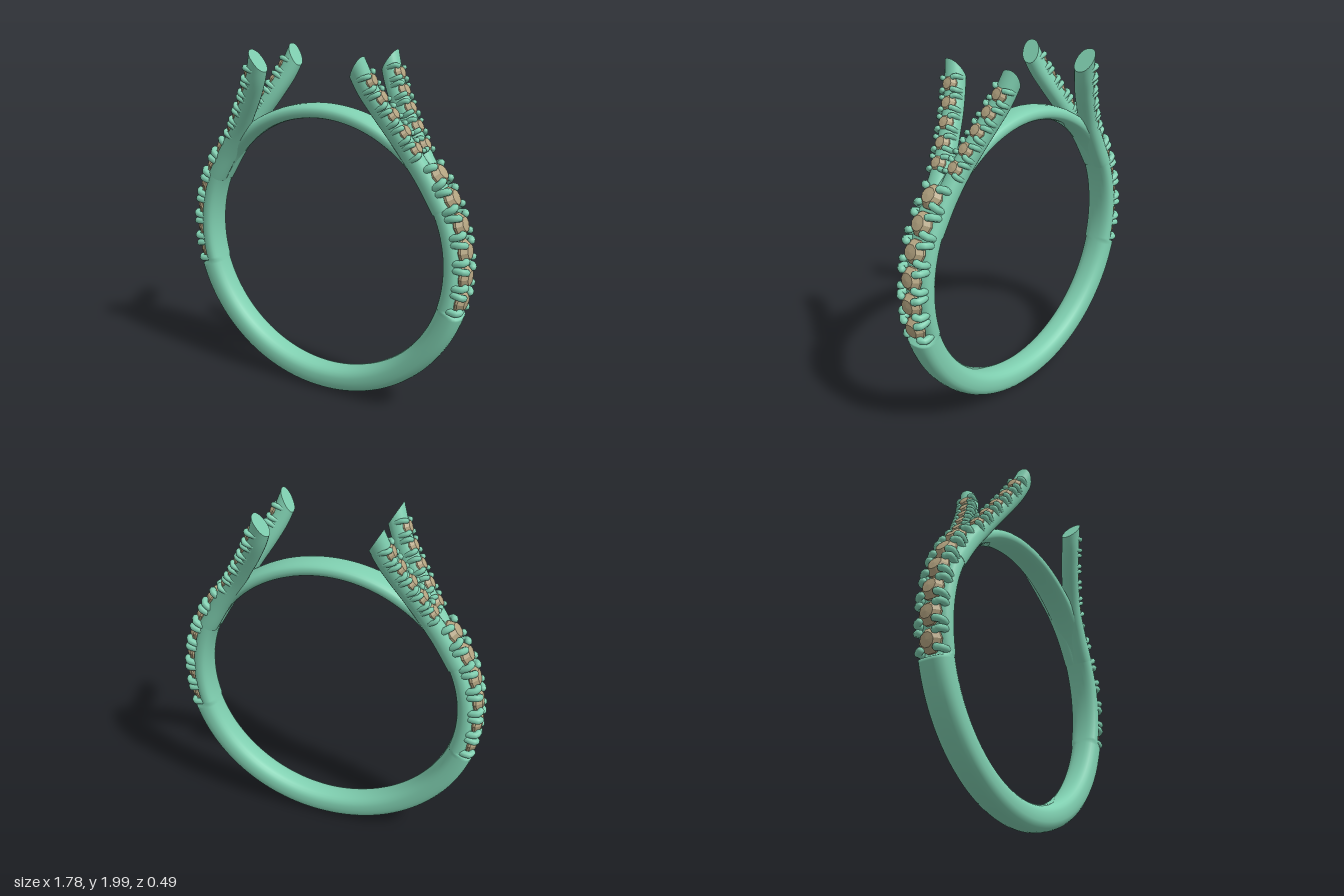
import * as THREE from 'three';
import { mergeGeometries } from 'three/addons/utils/BufferGeometryUtils.js';

const metal = new THREE.MeshStandardMaterial({ color: 0x7fcfb0 });
const stoneMat = new THREE.MeshStandardMaterial({ color: 0xb5a582, flatShading: true });
const V = (x, y, z) => new THREE.Vector3(x, y, z);
const CY = 0.89, RIN = 0.74, SEG = 24;

// Sweep a rounded section through frames {c, t, n, a, h}; a = half size along n, h = half size across.
// An optional plane trims the far end.
function sweep(frames, power, closed, plane) {
  const pos = [], idx = [];
  const rows = frames.map(({ c, t, n, a, h }) => {
    const b = t.clone().cross(n);
    return Array.from({ length: SEG }, (_, j) => {
      const f = (j / SEG) * Math.PI * 2, co = Math.cos(f), si = Math.sin(f);
      const p = c.clone()
        .addScaledVector(n, a * Math.sign(co) * Math.abs(co) ** (2 / power))
        .addScaledVector(b, h * Math.sign(si) * Math.abs(si) ** (2 / power));
      const d = plane ? plane.distanceToPoint(p) : 0;
      if (d > 0) p.addScaledVector(t, -d / plane.normal.dot(t));
      return p;
    });
  });
  rows.forEach(r => r.forEach(p => pos.push(p.x, p.y, p.z)));
  const last = closed ? rows.length : rows.length - 1;
  for (let i = 0; i < last; i++) for (let j = 0; j < SEG; j++) {
    const k = ((i + 1) % rows.length) * SEG, m = (j + 1) % SEG, o = i * SEG;
    idx.push(o + j, o + m, k + j, o + m, k + m, k + j);
  }
  // flat end caps with their own vertices
  if (!closed) [[rows[0], true], [rows[rows.length - 1], false]].forEach(([row, flip]) => {
    const base = pos.length / 3, mid = V(0, 0, 0);
    row.forEach(p => { pos.push(p.x, p.y, p.z); mid.addScaledVector(p, 1 / SEG); });
    pos.push(mid.x, mid.y, mid.z);
    for (let j = 0; j < SEG; j++) {
      const m = (j + 1) % SEG;
      idx.push(base + (flip ? m : j), base + (flip ? j : m), base + SEG);
    }
  });
  const g = new THREE.BufferGeometry();
  g.setAttribute('position', new THREE.Float32BufferAttribute(pos, 3));
  g.setIndex(idx);
  g.computeVertexNormals();
  return g;
}

// Band: thick below, lowered seat under the stones, thin across the top
function bandGeometry() {
  const frames = [];
  for (let d = 0; d < 360; d++) {
    const q = (d * Math.PI) / 180, n = V(Math.cos(q), Math.sin(q), 0);
    const e = THREE.MathUtils.radToDeg(Math.asin(n.y));
    const rout = e < -15.5 ? 0.888 : THREE.MathUtils.lerp(0.838, 0.82, THREE.MathUtils.smoothstep(e, 40, 60));
    const mid = (RIN + rout) / 2;
    frames.push({
      c: V(n.x * mid, CY + n.y * mid, 0), t: V(-n.y, n.x, 0), n,
      a: (rout - RIN) / 2, h: 0.079 + 0.008 * Math.abs(n.x),
    });
  }
  return sweep(frames, 2.5, true);
}

// Faceted stone: point, girdle, crown and table
const stoneGeo = new THREE.LatheGeometry(
  [[0, -0.055], [0.066, -0.006], [0.066, 0.006], [0.04, 0.036], [0, 0.04]].map(p => new THREE.Vector2(...p)), 10);

// Claw that rises beside the stone and bends over its edge
const clawGeos = [];
for (const sx of [1, -1]) for (const sz of [1, -1]) {
  const path = [[0.05, -0.06, 0.058], [0.05, -0.005, 0.07], [0.048, 0.02, 0.065], [0.043, 0.026, 0.046]]
    .map(([x, y, z]) => V(x * sx, y, z * sz));
  const tip = path[3];
  clawGeos.push(
    new THREE.TubeGeometry(new THREE.CatmullRomCurve3(path), 8, 0.02, 8),
    new THREE.SphereGeometry(0.02, 8, 6).translate(tip.x, tip.y, tip.z));
}
const clawGeo = mergeGeometries(clawGeos);

function add(parent, name, geo, mat) {
  const m = new THREE.Mesh(geo, mat);
  m.name = name;
  parent.add(m);
}

// One stone with four claws, facing along n
function setting(c, t, n, scale) {
  const g = new THREE.Group();
  g.name = 'stoneSetting';
  add(g, 'stone', stoneGeo, stoneMat);
  add(g, 'claws', clawGeo, metal);
  g.applyMatrix4(new THREE.Matrix4().makeBasis(t, n, t.clone().cross(n)).setPosition(c));
  g.scale.setScalar(scale);
  return g;
}

// Shoulder: six large stones on the band, then two diverging arms with five small ones each
function shoulder() {
  const g = new THREE.Group();
  for (let i = 0; i < 6; i++) {
    const q = THREE.MathUtils.degToRad(-10.5 + i * 9.55), n = V(Math.cos(q), Math.sin(q), 0);
    g.add(setting(V(n.x * 0.845, CY + n.y * 0.845, 0), V(-n.y, n.x, 0), n, 1));
  }
  const cut = new THREE.Plane().setFromNormalAndCoplanarPoint(V(-0.855, 0.519, 0).normalize(), V(0.25, 1.86, 0));
  for (const s of [1, -1]) {
    const curve = new THREE.CatmullRomCurve3([
      [0.716, 1.224, 0.035], [0.62, 1.385, 0.042], [0.53, 1.52, 0.06], [0.46, 1.63, 0.09],
      [0.39, 1.74, 0.125], [0.335, 1.84, 0.16], [0.3, 1.93, 0.185], [0.265, 2.03, 0.215],
    ].map(([x, y, z]) => V(x, y, z * s)));
    const frame = u => {
      const t = curve.getTangentAt(u);
      return { c: curve.getPointAt(u), t, n: V(t.y, -t.x, 0).normalize(), a: 0.053, h: 0.053 };
    };
    const frames = Array.from({ length: 49 }, (_, i) => frame(i / 48));
    add(g, 'arm', sweep(frames, 2.2, false, cut), metal);
    for (let i = 0; i < 5; i++) {
      const { c, t, n } = frame(0.36 + i * 0.111);
      g.add(setting(c.addScaledVector(n, 0.038), t, n, 0.7));
    }
  }
  return g;
}

export function createModel() {
  const model = new THREE.Group();
  model.name = 'ring';
  add(model, 'band', bandGeometry(), metal);
  ['leftShoulder', 'rightShoulder'].forEach((name, i) => {
    const g = shoulder();
    g.name = name;
    g.rotation.y = i * Math.PI;
    model.add(g);
  });
  return model;
}
